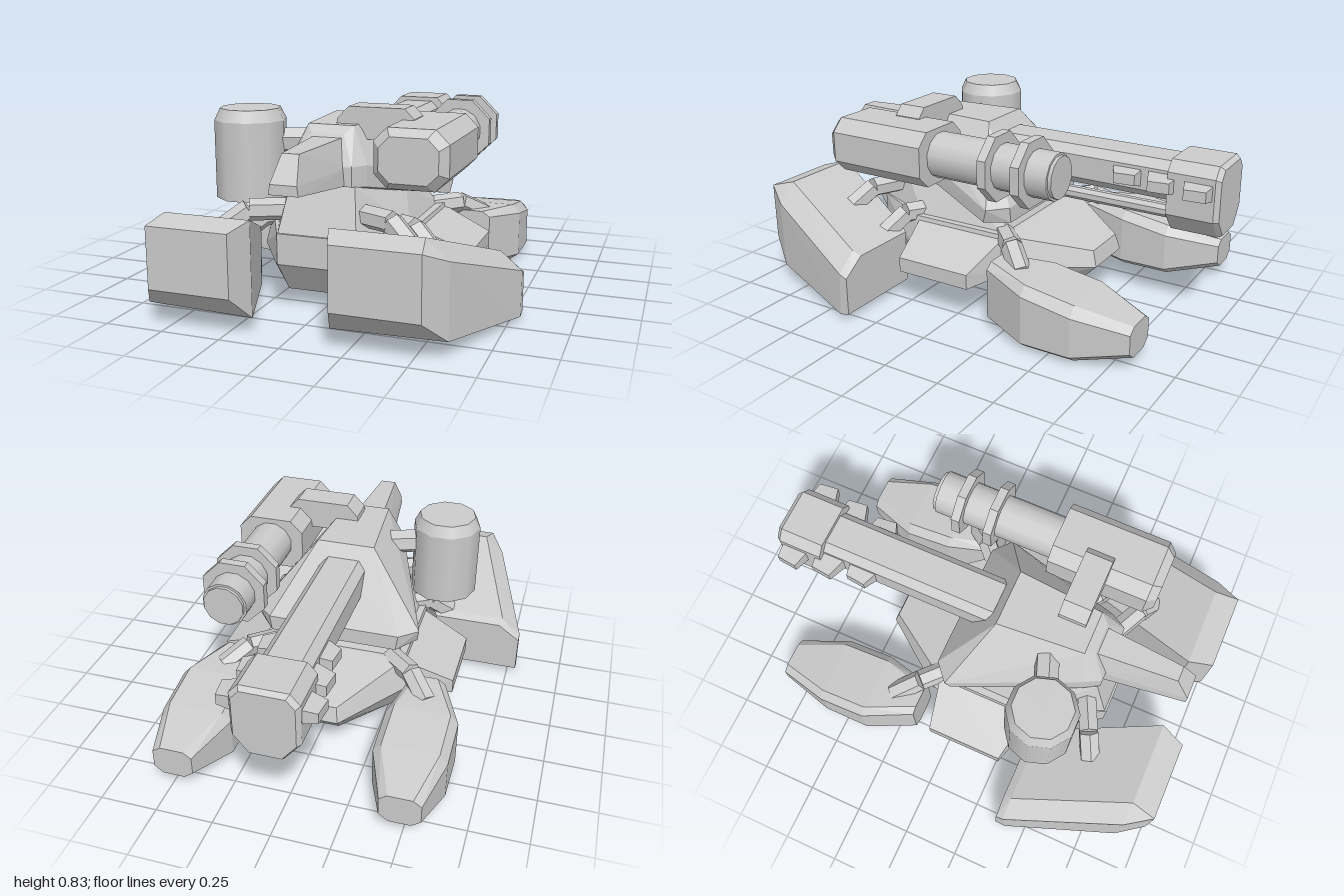
import * as THREE from 'three';
import { ConvexGeometry } from 'three/addons/geometries/ConvexGeometry.js';

const flat = new THREE.MeshStandardMaterial({ color: 0xcccccc, flatShading: true });
const smooth = new THREE.MeshStandardMaterial({ color: 0xcccccc });
const V = (x, y, z) => new THREE.Vector3(x, y, z);

export function createModel() {
  const root = new THREE.Group();

  function add(name, geometry, material = flat) {
    const mesh = new THREE.Mesh(geometry, material);
    mesh.name = name;
    root.add(mesh);
    return mesh;
  }
  // faceted solid around corner points; mirrored across x = 0 when sym is set
  function solid(name, pts, sym = false) {
    const list = pts.map(p => V(...p));
    if (sym) pts.forEach(([x, y, z]) => list.push(V(-x, y, z)));
    return add(name, new ConvexGeometry(list));
  }
  // one solid on each side
  function pair(name, pts) {
    solid('left' + name, pts);
    solid('right' + name, pts.map(([x, y, z]) => [-x, y, z]));
  }
  // chamfered block running along z, from sections [z, halfWidth, halfHeight, chamfer]
  function octBlock(name, cx, cy, sections) {
    const pts = [];
    for (const [z, w, h, c] of sections)
      for (const sx of [-1, 1]) for (const sy of [-1, 1])
        pts.push([cx + sx * w, cy + sy * (h - c), z], [cx + sx * (w - c), cy + sy * h, z]);
    return solid(name, pts);
  }
  // six-sided strut between two points
  function strut(name, a, b, r) {
    const A = V(...a), B = V(...b);
    const m = add(name, new THREE.CylinderGeometry(r, r, A.distanceTo(B), 6));
    m.position.copy(A).add(B).multiplyScalar(0.5);
    m.quaternion.setFromUnitVectors(V(0, 1, 0), B.sub(A).normalize());
  }
  function tubeZ(name, x, y, z0, z1, r, sides, mat) {
    const m = add(name, new THREE.CylinderGeometry(r, r, z0 - z1, sides, 1, false, Math.PI / sides), mat);
    m.rotation.x = Math.PI / 2;
    m.position.set(x, y, (z0 + z1) / 2);
  }

  // hull
  solid('lowerHull', [
    [0.17, 0.33, 0.64], [0.17, 0.2, 0.64], [0.2, 0.2, 0.6], [0.2, 0.33, 0.58], [0.16, 0.07, 0.55],
    [0.33, 0.33, 0.33], [0.36, 0.2, 0.35], [0.3, 0.075, 0.3],
    [0.33, 0.33, -0.13], [0.36, 0.2, -0.15], [0.28, 0.075, -0.14],
    [0.11, 0.25, -0.45], [0.12, 0.18, -0.47], [0.1, 0.09, -0.38],
  ], true);
  solid('upperHull', [
    [0.17, 0.33, 0.63], [0.14, 0.53, 0.56], [0.3, 0.33, 0.33], [0.24, 0.47, 0.2],
    [0.3, 0.32, -0.12], [0.25, 0.4, -0.08],
  ], true);
  pair('SidePlate', [
    [0.29, 0.33, 0.33], [0.29, 0.33, -0.13], [0.55, 0.22, 0.27], [0.55, 0.22, -0.08],
    [0.55, 0.155, 0.27], [0.55, 0.155, -0.08], [0.29, 0.155, 0.35], [0.29, 0.155, -0.15],
  ]);

  // feet
  pair('FrontFoot', [
    [0.2, 0.165, 1], [0.2, 0.42, 1], [0.55, 0.42, 1], [0.55, 0.165, 1],
    [0.16, 0.06, 0.89], [0.16, 0.45, 0.89], [0.53, 0.45, 0.89], [0.62, 0.37, 0.89], [0.62, 0.07, 0.89],
    [0.36, 0.015, 0.41], [0.36, 0.28, 0.4], [0.7, 0.28, 0.4], [0.79, 0.205, 0.4], [0.79, 0.015, 0.41],
    [0.38, 0.025, 0.365], [0.38, 0.26, 0.365], [0.69, 0.26, 0.365], [0.79, 0.19, 0.365], [0.79, 0.025, 0.365],
  ]);
  const rearFoot = [];
  for (const [z, xi, xo, bottom, edge, top] of [
    [-0.17, 0.37, 0.53, 0.015, 0.26, 0.285], [-0.39, 0.315, 0.63, 0, 0.235, 0.275],
    [-0.61, 0.315, 0.63, 0, 0.2, 0.242], [-0.84, 0.4, 0.575, 0.055, 0.165, 0.19],
  ]) rearFoot.push([xi + 0.04, bottom, z], [xo - 0.04, bottom, z], [xi, bottom + 0.03, z], [xo, bottom + 0.03, z],
    [xi, edge, z], [xo, edge, z], [xi + 0.035, top, z], [xo - 0.035, top, z]);
  pair('RearFoot', rearFoot);

  // bent legs joining the feet to the hull
  for (const s of [-1, 1]) {
    const side = s > 0 ? 'left' : 'right';
    for (const [name, a, b, c] of [
      ['FrontLeg', [0.14, 0.41, 0.52], [0.31, 0.41, 0.6], [0.4, 0.34, 0.65]],
      ['MiddleLeg', [0.18, 0.33, 0.3], [0.34, 0.335, 0.39], [0.43, 0.26, 0.44]],
      ['RearLeg', [0.25, 0.31, -0.08], [0.38, 0.315, -0.2], [0.47, 0.25, -0.3]],
    ]) {
      const at = ([x, y, z]) => [s * x, y, z];
      strut(side + name + 'Upper', at(a), at(b), 0.047);
      strut(side + name + 'Lower', at(b), at(c), 0.047);
    }
  }

  // turret and nose
  solid('turret', [
    [0.13, 0.76, 0.07], [0.1, 0.76, 0.46], [0.07, 0.73, 0.5],
    [0.13, 0.61, 0.57], [0.17, 0.61, 0.5], [0.13, 0.53, 0.57], [0.17, 0.52, 0.5],
    [0.38, 0.45, -0.07], [0.3, 0.45, -0.14], [0.37, 0.39, -0.05], [0.29, 0.38, -0.14],
  ], true);
  solid('nose', [
    [0.06, 0.565, 0.93], [0.055, 0.605, 0.93], [0.035, 0.71, 0.86], [0.065, 0.715, 0.48],
    [0.1, 0.6, 0.5], [0.1, 0.53, 0.55],
  ], true);

  // main gun
  octBlock('mainBarrel', 0, 0.62, [[0.03, 0.105, 0.085, 0.035], [-0.8, 0.105, 0.085, 0.035]]);
  solid('muzzleBlock', [
    [0.1, 0.725, -0.78], [0.14, 0.68, -0.78], [0.14, 0.5, -0.78], [0.07, 0.415, -0.78],
    [0.1, 0.725, -0.98], [0.14, 0.68, -0.98], [0.14, 0.5, -0.98], [0.07, 0.415, -0.98],
    [0.09, 0.71, -1], [0.125, 0.67, -1], [0.125, 0.5, -1], [0.065, 0.425, -1],
  ], true);
  [[-0.515, 0.165], [-0.675, 0.19], [-0.835, 0.21]].forEach(([z, x]) => pair('BarrelVent', [
    [0.08, 0.58, z], [0.08, 0.66, z], [0.08, 0.58, z - 0.14], [0.08, 0.66, z - 0.14],
    [x, 0.6, z - 0.04], [x, 0.645, z - 0.04], [x - 0.01, 0.6, z - 0.13], [x - 0.01, 0.645, z - 0.13],
  ]));
  tubeZ('lowerRod', 0, 0.46, -0.08, -0.8, 0.03, 8, flat);

  // side gun with its bracket
  octBlock('sideGunPod', 0.387, 0.667, [[0.65, 0.12, 0.09, 0.045], [0.61, 0.152, 0.12, 0.055], [0.15, 0.152, 0.12, 0.055]]);
  tubeZ('sideGunBarrel', 0.387, 0.667, 0.16, -0.42, 0.1, 12, smooth);
  tubeZ('sideGunTip', 0.387, 0.667, -0.41, -0.435, 0.09, 12, smooth);
  for (const z of [-0.145, -0.3]) tubeZ('sideGunRing', 0.387, 0.667, z + 0.02, z - 0.02, 0.15, 8, flat);
  solid('gunBracket', [].concat(...[0.295, 0.42].map(z => [
    [0, 0.7, z], [0.01, 0.78, z], [0.06, 0.832, z], [0.3, 0.832, z], [0.34, 0.79, z], [0.34, 0.7, z],
  ])));

  // canister with its bracket
  const canister = new THREE.Group();
  canister.name = 'canister';
  for (const [name, top, y0, y1] of [['canisterBody', 0.155, 0.42, 0.755], ['canisterCap', 0.13, 0.755, 0.805]]) {
    const m = add(name, new THREE.CylinderGeometry(top, 0.155, y1 - y0, 10, 1, false, Math.PI / 10), smooth);
    m.position.y = (y0 + y1) / 2;
    canister.add(m);
  }
  canister.position.set(-0.397, 0, 0.397);
  root.add(canister);
  strut('canisterBracket', [-0.32, 0.665, 0.38], [-0.1, 0.665, 0.3], 0.055);

  return root;
}
